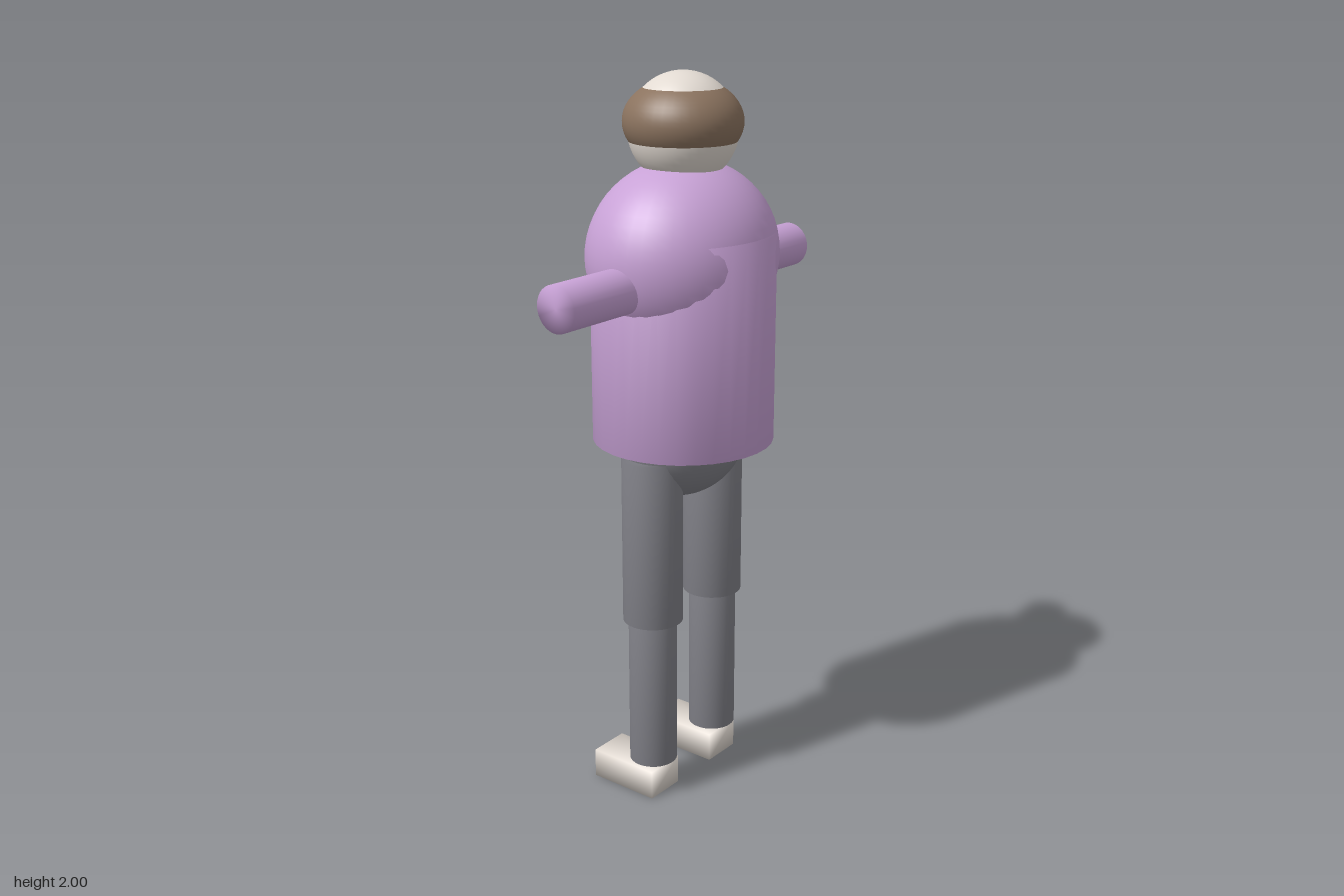
import * as THREE from 'three';
import { mergeVertices } from 'three/addons/utils/BufferGeometryUtils.js';

const flat = (name, color) => {
  const m = new THREE.MeshStandardMaterial({ color });
  m.name = name;
  return m;
};

// Shares corner vertices so that shading runs softly over the edges
function soften(geometry) {
  geometry.deleteAttribute('normal');
  geometry.deleteAttribute('uv');
  const merged = mergeVertices(geometry, 1e-4);
  merged.computeVertexNormals();
  return merged;
}

export function createModel() {
  const model = new THREE.Group();
  model.name = 'figure';
  const lilac = flat('lilac', 0xc8a2d6);
  const grey = flat('grey', 0x808087);
  const brown = flat('brown', 0x8b735f);
  const cream = flat('cream', 0xe2dad2);

  const add = (name, geometry, material, x, y, z = 0) => {
    const mesh = new THREE.Mesh(geometry, material);
    mesh.name = name;
    mesh.position.set(x, y, z);
    model.add(mesh);
    return mesh;
  };
  const ellipsoid = (rx, ry, rz) => new THREE.SphereGeometry(1, 40, 28).scale(rx, ry, rz);
  const cylinder = (r, h) => soften(new THREE.CylinderGeometry(r, r, h, 32));

  // Head and hair band
  add('head', ellipsoid(0.145, 0.145, 0.145), cream, 0, 1.855);
  add('hair', ellipsoid(0.157, 0.113, 0.157), brown, 0, 1.872);

  // Upper body
  add('shoulders', ellipsoid(0.281, 0.25, 0.24), lilac, 0, 1.53);
  add('torso', cylinder(0.246, 0.565), lilac, 0, 1.3075);
  add('hips', ellipsoid(0.2, 0.165, 0.155), grey, 0, 1.03);

  // Limbs, mirrored left and right
  for (const [side, s] of [['left', 1], ['right', -1]]) {
    add(side + 'Arm', cylinder(0.061, 0.3).rotateZ(Math.PI / 2), lilac, s * 0.348, 1.475);
    add(side + 'Thigh', cylinder(0.083, 0.47), grey, s * 0.135, 0.765);
    add(side + 'Shin', cylinder(0.067, 0.44), grey, s * 0.137, 0.32);
    add(side + 'Foot', soften(new THREE.BoxGeometry(0.12, 0.083, 0.21)), cream, s * 0.135, 0.0415, -0.065);
  }
  return model;
}
